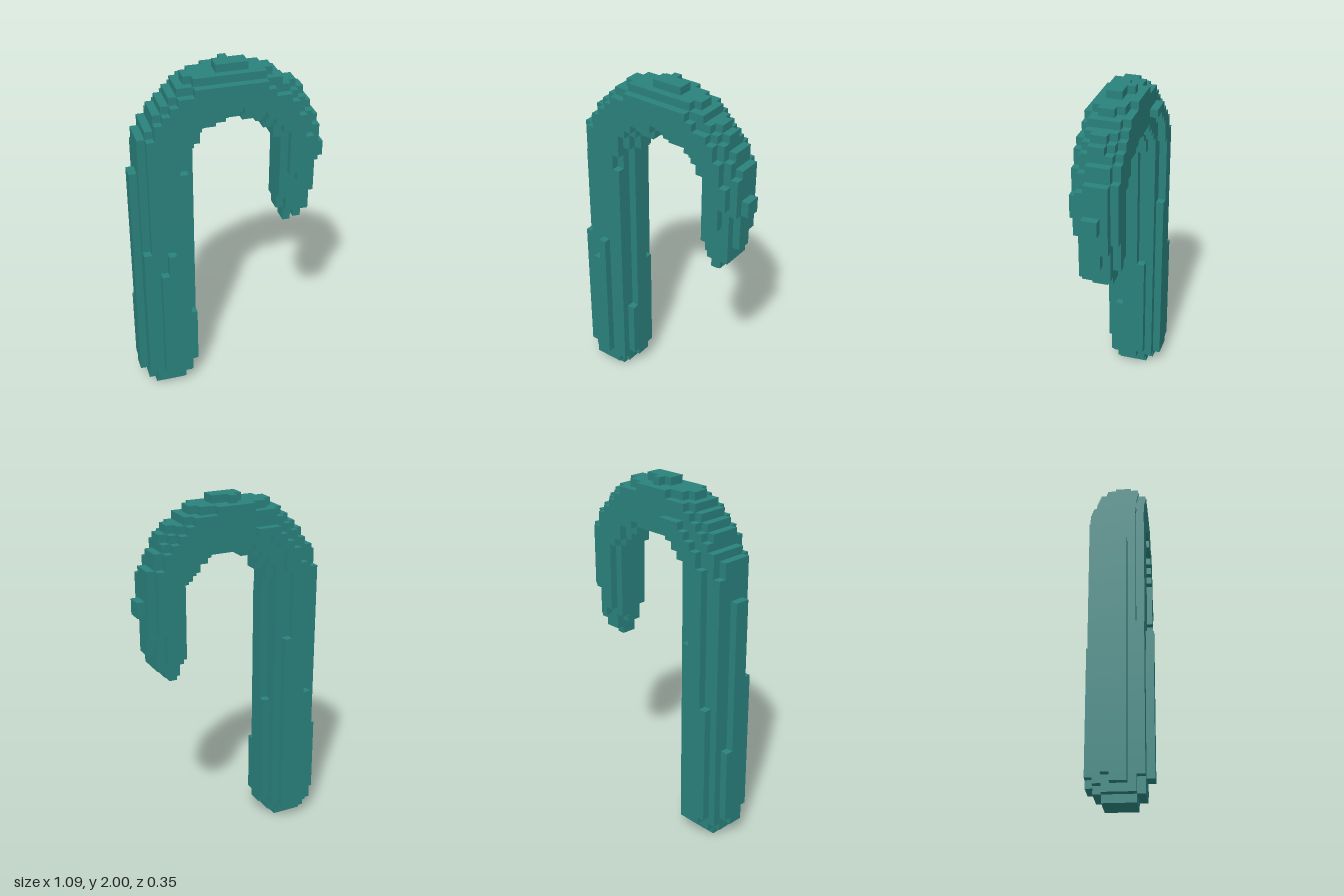
import * as THREE from 'three';

// Cell grid: 25 wide, 46 high, 8 deep
const V = 2 / 46, NX = 25, NY = 46, NZ = 8;
const ARC_X = 12.75, ARC_Y = 33, MID_Z = 3.85;

// Lowest and highest cell edge of each column, seen from the front
const LOW = [2, 1, 0, 0, 0, 0, 1, 2, 36, 38, 38, 39, 39, 39, 39, 39, 38, 37, 36, 25, 23, 24, 25, 27, 32];
const HIGH = [33, 38, 39, 41, 42, 43, 44, 45, 45, 45, 45, 46, 46, 46, 46, 45, 45, 45, 44, 43, 43, 42, 40, 38, 34];

// Tube radius against distance along the cane, rounded at both ends
const RADII = [
  [0.5, 2.3], [1.5, 3.1], [2.5, 3.66], [3.5, 3.85], [11, 3.824], [19, 3.691], [22, 3.678],
  [33, 3.62], [47, 3.3], [61, 2.85], [67, 2.5], [68.5, 2.2], [69.5, 1.7], [70.5, 1.1],
];

function radiusAt(s) {
  for (let n = 1; n < RADII.length; n++) {
    const [s0, r0] = RADII[n - 1], [s1, r1] = RADII[n];
    if (s <= s1) return r0 + (r1 - r0) * Math.max(0, (s - s0) / (s1 - s0));
  }
  return 1.1;
}

// Offset from the centreline and distance along it
function locate(x, y) {
  if (y < ARC_Y) {
    return x < ARC_X ? [Math.abs(x - 4.05), y] : [Math.abs(x - 21.25), 61 + ARC_Y - y];
  }
  const dx = ARC_X - x, dy = y - ARC_Y, angle = Math.atan2(dy, dx);
  return [Math.abs(Math.hypot(dx, dy) - 8.75 - 0.75 * Math.sin(angle)), 33 + 28 * angle / Math.PI];
}

function filled(i, j, k) {
  if (i < 0 || i >= NX || k < 0 || k >= NZ || j < LOW[i] || j >= HIGH[i]) return false;
  if (k === 3 || k === 4) return true;
  const [d, s] = locate(i + 0.5, j + 0.5);
  return Math.hypot(d, k + 0.5 - MID_Z) <= radiusAt(s);
}

function partOf(i, j) {
  if (j >= ARC_Y) return 'arch';
  return i < ARC_X ? 'shaft' : 'hookEnd';
}

// Surface of one part: a square on every exposed cell side
function buildPart(name) {
  const positions = [], normals = [], index = [];
  for (let i = 0; i < NX; i++) for (let j = 0; j < NY; j++) for (let k = 0; k < NZ; k++) {
    if (partOf(i, j) !== name || !filled(i, j, k)) continue;
    for (let axis = 0; axis < 3; axis++) for (const side of [-1, 1]) {
      const n = [0, 0, 0];
      n[axis] = side;
      if (filled(i + n[0], j + n[1], k + n[2])) continue;
      const base = positions.length / 3;
      for (const [a, b] of [[0, 0], [1, 0], [1, 1], [0, 1]]) {
        const c = [i, j, k];
        c[axis] += side > 0 ? 1 : 0;
        c[(axis + 1) % 3] += a;
        c[(axis + 2) % 3] += b;
        positions.push((c[0] - NX / 2) * V, c[1] * V, (c[2] - NZ / 2) * V);
        normals.push(...n);
      }
      const order = side > 0 ? [0, 1, 2, 0, 2, 3] : [0, 2, 1, 0, 3, 2];
      index.push(...order.map((o) => base + o));
    }
  }
  const geometry = new THREE.BufferGeometry();
  geometry.setAttribute('position', new THREE.Float32BufferAttribute(positions, 3));
  geometry.setAttribute('normal', new THREE.Float32BufferAttribute(normals, 3));
  geometry.setIndex(index);
  return geometry;
}

export function createModel() {
  const group = new THREE.Group();
  group.name = 'cane';
  const teal = new THREE.MeshStandardMaterial({ color: 0x2a817c });
  teal.name = 'teal';
  for (const name of ['shaft', 'arch', 'hookEnd']) {
    const mesh = new THREE.Mesh(buildPart(name), teal);
    mesh.name = name;
    group.add(mesh);
  }
  return group;
}
